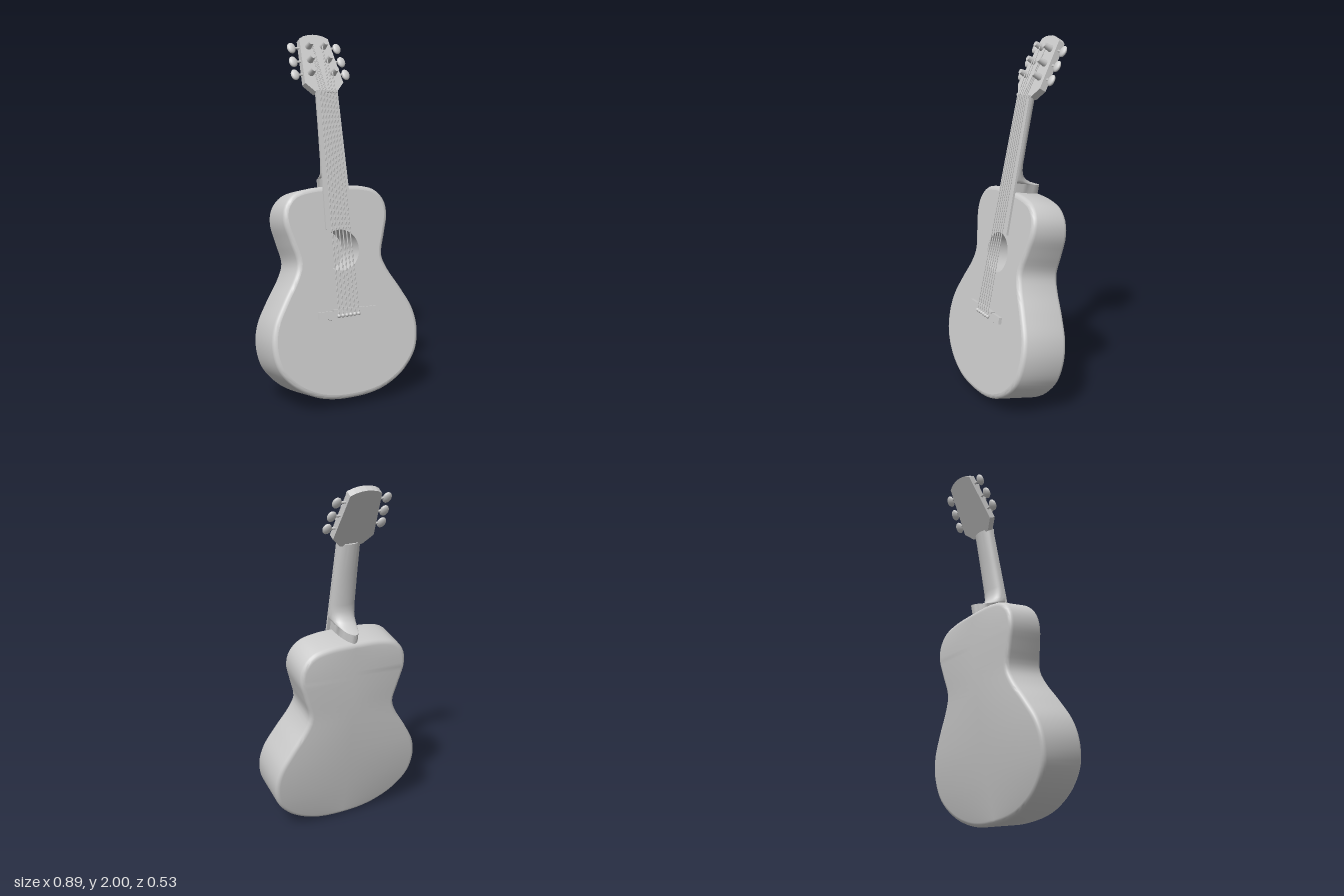
import * as THREE from 'three';
import { toCreasedNormals } from 'three/addons/utils/BufferGeometryUtils.js';

const mat = new THREE.MeshStandardMaterial({ color: 0xcccccc });
const matDouble = new THREE.MeshStandardMaterial({ color: 0xcccccc, side: THREE.DoubleSide });
const V = (x, y, z) => new THREE.Vector3(x, y, z);

function add(parent, name, geometry, material = mat) {
  const mesh = new THREE.Mesh(geometry, material);
  mesh.name = name;
  parent.add(mesh);
  return mesh;
}

// Skin over a list of closed rings with equal point counts
function loft(rings, crease = 0.6) {
  const n = rings[0].length, pos = [], idx = [];
  rings.forEach(r => r.forEach(p => pos.push(p.x, p.y, p.z)));
  for (let i = 0; i < rings.length - 1; i++) {
    for (let j = 0; j < n; j++) {
      const k = (j + 1) % n, a = i * n + j, b = i * n + k;
      idx.push(a, a + n, b, b, a + n, b + n);
    }
  }
  const g = new THREE.BufferGeometry();
  g.setAttribute('position', new THREE.Float32BufferAttribute(pos, 3));
  g.setIndex(idx);
  return toCreasedNormals(g, crease);
}

// Straight round bar between two points
function rod(parent, name, p, q, r0, r1 = r0, sides = 8) {
  const dir = q.clone().sub(p);
  const mesh = add(parent, name, new THREE.CylinderGeometry(r1, r0, dir.length(), sides));
  mesh.position.copy(p).add(q).multiplyScalar(0.5);
  mesh.quaternion.setFromUnitVectors(V(0, 1, 0), dir.normalize());
  return mesh;
}

function polygon(points) {
  return new THREE.Shape(points.map(([x, y]) => new THREE.Vector2(x, y)));
}

function slab(points, depth) {
  return new THREE.ExtrudeGeometry(polygon(points), { depth, bevelEnabled: false });
}

const HOLE_Y = 0.803, HOLE_R = 0.112;

function buildBody(parent) {
  // Half outline from bottom to top, mirrored to a closed curve
  const half = [[0.12, 0.008], [0.22, 0.035], [0.333, 0.1], [0.42, 0.205], [0.445, 0.33],
    [0.425, 0.44], [0.36, 0.56], [0.285, 0.68], [0.259, 0.755], [0.288, 0.87],
    [0.317, 0.98], [0.305, 1.06], [0.25, 1.122], [0.16, 1.148]];
  const pts = [[0, 0], ...half, [0, 1.155], ...half.slice().reverse().map(([x, y]) => [-x, y])];
  const curve = new THREE.CatmullRomCurve3(pts.map(([x, y]) => V(x, y, 0)), true);
  const N = 128, base = [], normal = [];
  for (let i = 0; i < N; i++) {
    const t = curve.getTangentAt(i / N);
    base.push(curve.getPointAt(i / N));
    normal.push(V(t.y, -t.x, 0));
  }
  // The back arches and gets shallower toward the neck
  const depth = y => 0.274 - 0.085 * ((y - 0.25) / 0.95) ** 2;
  const ring = (inset, off, back) => base.map((p, i) => {
    const q = p.clone().addScaledVector(normal[i], -inset);
    q.z = back ? -depth(q.y) + off : -off;
    return q;
  });
  const R = 0.025, rings = [];
  for (let k = 0; k <= 4; k++) {
    const a = k / 4 * Math.PI / 2;
    rings.push(ring(R * (1 - Math.sin(a)), R * (1 - Math.cos(a)), false));
  }
  for (let k = 0; k <= 4; k++) {
    const a = k / 4 * Math.PI / 2;
    rings.push(ring(R * (1 - Math.cos(a)), R * (1 - Math.sin(a)), true));
  }
  // Close the back along its centre line
  rings.push(rings[rings.length - 1].map(p => V(0, p.y, p.z)));
  add(parent, 'bodySidesAndBack', loft(rings));

  // Soundboard with the sound hole
  const board = polygon(rings[0].map(p => [p.x, p.y]));
  board.holes.push(new THREE.Path().absarc(0, HOLE_Y, HOLE_R, 0, Math.PI * 2, true));
  add(parent, 'soundboard', new THREE.ShapeGeometry(board, 24));
  const wall = add(parent, 'soundHoleWall',
    new THREE.CylinderGeometry(HOLE_R, HOLE_R, 0.2, 48, 1, true), matDouble);
  wall.rotation.x = Math.PI / 2;
  wall.position.set(0, HOLE_Y, -0.1);
  add(parent, 'soundHoleFloor', new THREE.CircleGeometry(HOLE_R, 48)).position.set(0, HOLE_Y, -0.2);
}

const NUT_Y = 1.67;

function buildNeck(parent) {
  // Rounded neck running down into the heel: [height, half width, depth]
  const sections = [[1.67, 0.001, 0.001], [1.67, 0.065, 0.046], [1.5, 0.068, 0.045],
    [1.31, 0.073, 0.045], [1.275, 0.074, 0.05], [1.245, 0.074, 0.064], [1.225, 0.073, 0.09],
    [1.213, 0.07, 0.125], [1.207, 0.064, 0.16], [1.204, 0.058, 0.186], [1.1, 0.058, 0.186]];
  const rings = sections.map(([y, a, b]) => {
    const ring = [];
    for (let i = 0; i <= 20; i++) {
      const t = i / 20 * Math.PI;
      ring.push(V(a * Math.cos(t), y, -b * Math.sin(t)));
    }
    return ring;
  });
  add(parent, 'neckAndHeel', loft(rings, 0.8));

  add(parent, 'fretboard',
    slab([[-0.083, 0.92], [0.083, 0.92], [0.065, NUT_Y], [-0.065, NUT_Y]], 0.012));
  add(parent, 'nut', new THREE.BoxGeometry(0.125, 0.016, 0.024)).position.set(0, NUT_Y, 0.006);
}

function buildBridge(parent) {
  add(parent, 'bridge', slab([[-0.172, 0.482], [-0.175, 0.446], [-0.125, 0.441], [-0.095, 0.428],
    [-0.06, 0.422], [0.06, 0.422], [0.095, 0.428], [0.125, 0.441], [0.175, 0.446], [0.172, 0.482]], 0.018));
  add(parent, 'saddle', new THREE.BoxGeometry(0.18, 0.01, 0.026)).position.set(0, 0.482, 0.013);
}

const HEAD_TILT = -0.3;
// One side of tuners: height on the head, post x, button x
const TUNERS = [[0.115, 0.068, 0.155], [0.195, 0.055, 0.148], [0.28, 0.045, 0.14]];

function buildHeadstock(parent) {
  const head = new THREE.Group();
  head.name = 'headstock';
  head.position.set(0, NUT_Y, 0.006);
  head.rotation.x = HEAD_TILT;
  parent.add(head);

  const right = [[0.065, 0], [0.117, 0.055], [0.088, 0.33], [0.062, 0.345], [0.032, 0.353]];
  const outline = [...right, [0, 0.356], ...right.slice().reverse().map(([x, y]) => [-x, y])];
  add(head, 'headPlate', slab(outline, 0.04)).position.z = -0.04;

  for (const side of [-1, 1]) {
    for (const [y, px, bx] of TUNERS) {
      rod(head, 'tunerPost', V(side * px, y, -0.002), V(side * px, y, 0.048), 0.02, 0.014, 14);
      rod(head, 'tunerShaft', V(side * 0.07, y, -0.02), V(side * bx, y, -0.02), 0.007);
      const button = add(head, 'tunerButton', new THREE.SphereGeometry(1, 16, 10));
      button.scale.set(0.025, 0.032, 0.014);
      button.position.set(side * bx, y, -0.02);
    }
  }
}

function buildStrings(parent) {
  for (let i = 0; i < 6; i++) {
    const f = (i - 2.5) / 2.5, side = Math.sign(f);
    const pin = V(f * 0.06, 0.455, 0.027), nut = V(f * 0.044, NUT_Y, 0.02);
    // Outer strings go to the lowest posts, inner ones to the highest
    const [s, px] = TUNERS[i < 3 ? i : 5 - i];
    const post = V(side * (px - 0.014), s, 0.022)
      .applyAxisAngle(V(1, 0, 0), HEAD_TILT).add(V(0, NUT_Y, 0.006));
    rod(parent, 'string', pin, nut, 0.0035, 0.0035, 6);
    rod(parent, 'stringEnd', nut, post, 0.0035, 0.0035, 6);
    add(parent, 'bridgePin', new THREE.SphereGeometry(0.011, 12, 8)).position.set(pin.x, 0.452, 0.024);
  }
}

export function createModel() {
  const model = new THREE.Group();
  model.name = 'guitar';
  // The whole instrument leans back
  const guitar = new THREE.Group();
  guitar.name = 'leaningGuitar';
  guitar.rotation.x = -0.203;
  guitar.position.set(0, 0.05, 0.262);
  model.add(guitar);
  buildBody(guitar);
  buildNeck(guitar);
  buildBridge(guitar);
  buildHeadstock(guitar);
  buildStrings(guitar);
  return model;
}
